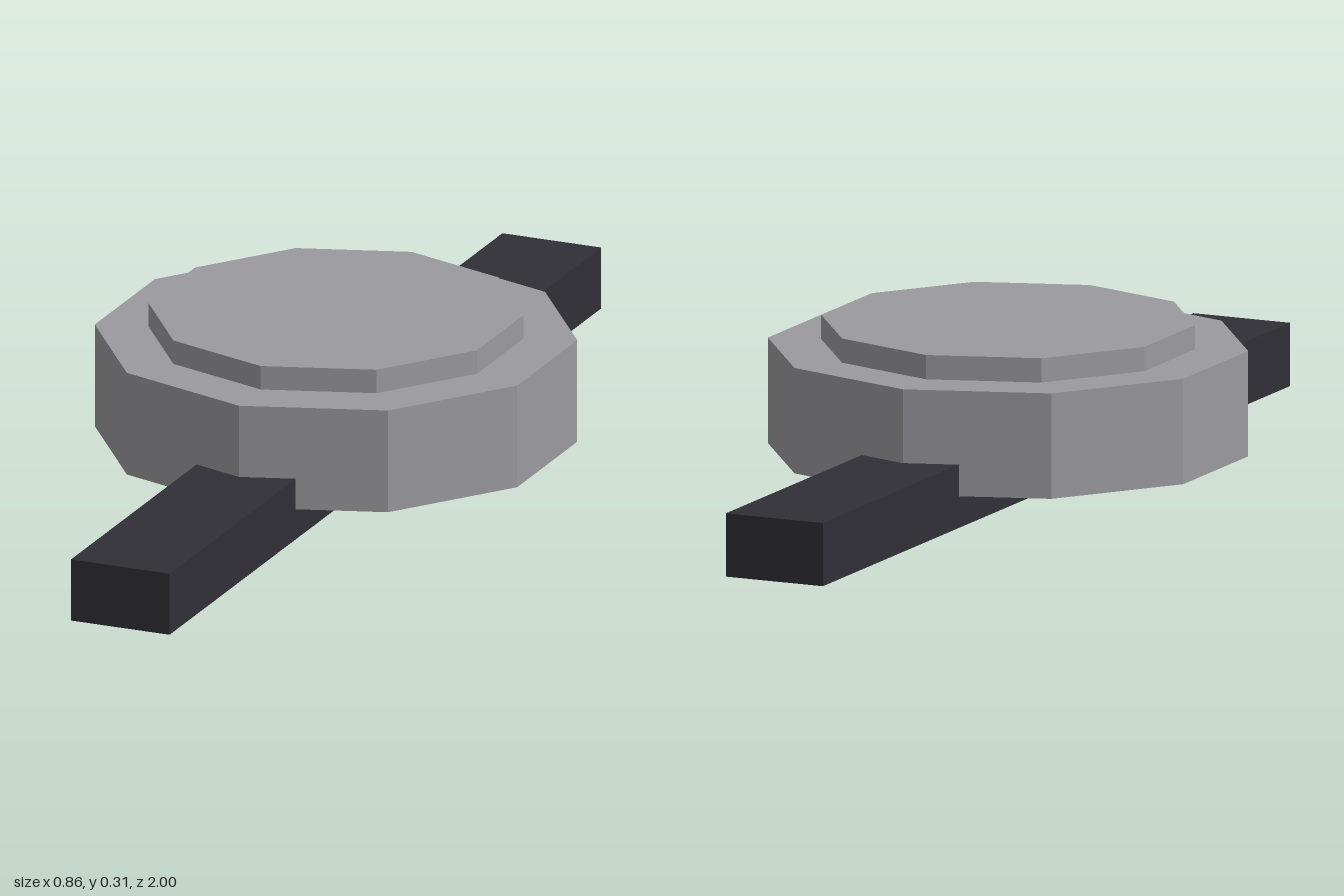
import * as THREE from 'three';

export function createModel() {
  const model = new THREE.Group();
  const metal = new THREE.MeshStandardMaterial({ name: 'greyMetal', color: 0x9a9a9f, flatShading: true });
  const leather = new THREE.MeshStandardMaterial({ name: 'darkStrap', color: 0x302f36, flatShading: true });

  function add(name, geometry, material, y) {
    const mesh = new THREE.Mesh(geometry, material);
    mesh.name = name;
    mesh.position.y = y;
    model.add(mesh);
  }

  // Ten-sided disc with a corner facing the front, spanning bottom to top
  function disc(name, radius, bottom, top) {
    add(name, new THREE.CylinderGeometry(radius, radius, top - bottom, 10), metal, (bottom + top) / 2);
  }

  // Long flat strap running front to back beneath the case
  add('strap', new THREE.BoxGeometry(0.2, 0.12, 2), leather, 0.06);

  // Case and the raised plate on top of it
  disc('case', 0.45, 0.06, 0.26);
  disc('topPlate', 0.35, 0.26, 0.306);

  return model;
}
